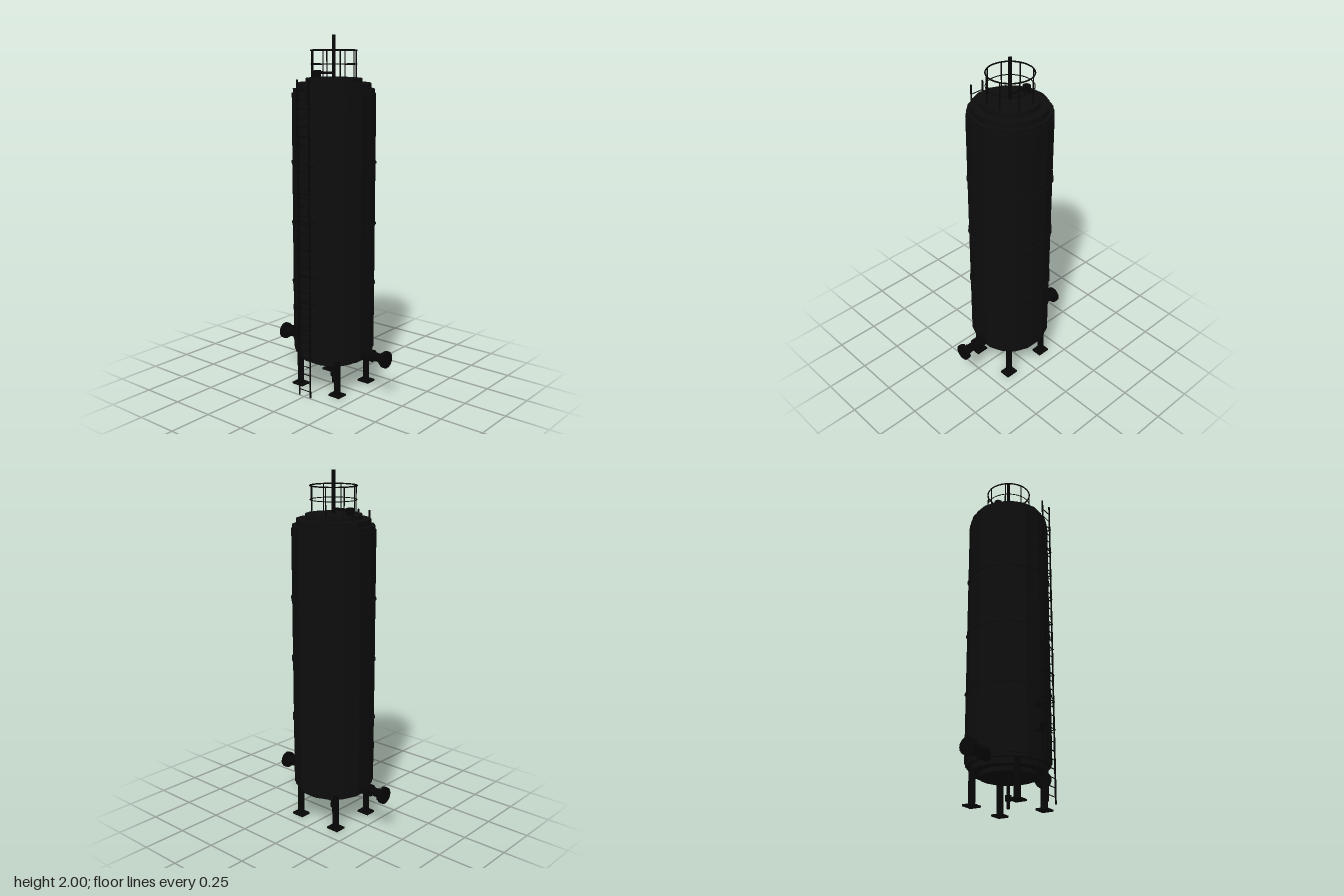
import * as THREE from 'three';

export function createModel() {
  const model = new THREE.Group();
  const shell = new THREE.MeshStandardMaterial({ color: 0x0d0d0d, flatShading: true });
  shell.name = 'dark shell';
  const fitting = new THREE.MeshStandardMaterial({ color: 0x060606, flatShading: true });
  fitting.name = 'black fittings';
  const CZ = -0.014; // tank axis

  function add(name, geo, mat, x, y, z, parent = model) {
    const m = new THREE.Mesh(geo, mat);
    m.name = name;
    m.position.set(x, y, z);
    parent.add(m);
    return m;
  }
  const box = (name, w, h, d, x, y, z, mat = fitting, parent = model) =>
    add(name, new THREE.BoxGeometry(w, h, d), mat, x, y, z, parent);
  // upright cylinder between two heights
  const post = (name, r, y0, y1, x, z, sides = 8, mat = fitting) =>
    add(name, new THREE.CylinderGeometry(r, r, y1 - y0, sides), mat, x, (y0 + y1) / 2, z);
  // sixteen-sided drum with a flat facing the front
  function drum(name, r, y0, y1) {
    const m = post(name, r, y0, y1, 0, CZ, 16, shell);
    m.rotation.y = Math.PI / 16;
  }

  // tank body, stepped ends and weld bands
  drum('tankBody', 0.232, 0.235, 1.69);
  const mid = 0.965;
  [[0.226, 0.748], [0.205, 0.78], [0.156, 0.805]].forEach(([r, half], i) => {
    drum('topStep' + (i + 1), r, mid + 0.6, mid + half);
    drum('bottomStep' + (i + 1), r, mid - half, mid - 0.6);
  });
  for (const y of [0.62, 0.965, 1.31]) drum('weldBand', 0.2375, y - 0.005, y + 0.005);

  // four legs with foot plates
  for (const sx of [-1, 1]) for (const sz of [-1, 1]) {
    const x = sx * 0.136, z = CZ + sz * 0.136;
    post('leg', 0.019, 0, 0.23, x, z, 10);
    box('footPlate', 0.076, 0.01, 0.064, x, 0.005, z);
  }

  // bottom drain with valve
  post('drainPipe', 0.009, 0, 0.17, 0, CZ);
  post('drainValve', 0.018, 0.04, 0.07, 0, CZ);

  // side nozzles, built along +x and turned for the other side
  for (const side of [0, 1]) {
    const nozzle = new THREE.Group();
    nozzle.name = side ? 'rightNozzle' : 'leftNozzle';
    nozzle.position.set(0, 0.235, CZ);
    nozzle.rotation.y = side * Math.PI;
    const disc = (name, r, x0, x1, y = 0, z = 0, sides = 16) => {
      const g = new THREE.CylinderGeometry(r, r, x1 - x0, sides).rotateZ(-Math.PI / 2);
      add(name, g, fitting, (x0 + x1) / 2, y, z, nozzle);
    };
    disc('sleeve', 0.034, 0.18, 0.288);
    disc('pipe', 0.0245, 0.28, 0.37);
    disc('collar', 0.028, 0.336, 0.347);
    disc('flange', 0.048, 0.364, 0.384);
    for (let i = 0; i < 8; i++) {
      const a = (i + 0.5) * Math.PI / 4;
      disc('bolt', 0.006, 0.355, 0.37, 0.039 * Math.sin(a), 0.039 * Math.cos(a), 6);
    }
    model.add(nozzle);
  }

  // front ladder
  const LZ = 0.242;
  for (const s of [-1, 1]) box('ladderRail', 0.007, 1.77, 0.007, s * 0.04, 0.885, LZ);
  for (let y = 0.035; y < 1.76; y += 0.048) {
    const g = new THREE.CylinderGeometry(0.0025, 0.0025, 0.08, 6).rotateZ(Math.PI / 2);
    add('ladderRung', g, fitting, 0, y, LZ);
  }
  for (let i = 0; i < 9; i++) {
    const y = 1.62 - i * 0.153;
    box('ladderBracketBar', 0.112, 0.004, 0.004, 0, y, LZ - 0.001);
    for (const s of [-1, 1]) box('ladderBracketArm', 0.004, 0.004, 0.034, s * 0.054, y, LZ - 0.016);
  }

  // small plate on a standoff, and a wall plate above it
  box('standoffPlate', 0.042, 0.06, 0.005, -0.077, 0.37, 0.234);
  box('standoffPost', 0.012, 0.012, 0.03, -0.077, 0.36, 0.222);
  box('wallPlate', 0.042, 0.03, 0.014, -0.077, 0.505, 0.215);

  // guard rail on the roof
  const R = 0.126;
  for (let i = 0; i < 8; i++) {
    const a = (i + 0.5) * Math.PI / 4;
    post('railPost', 0.0035, 1.765, 1.92, R * Math.cos(a), CZ + R * Math.sin(a), 6);
  }
  for (const [y, r] of [[1.919, 0.004], [1.845, 0.0025]])
    add('railRing', new THREE.TorusGeometry(R, r, 6, 32).rotateX(Math.PI / 2), fitting, 0, y, CZ);

  // mast and roof vent pipe
  post('mast', 0.01, 1.765, 2, 0, CZ);
  post('ventValve', 0.022, 1.765, 1.808, -0.117, CZ, 10);
  add('ventPipe', new THREE.CylinderGeometry(0.007, 0.007, 0.117, 8).rotateZ(Math.PI / 2),
    fitting, -0.0585, 1.797, CZ);

  return model;
}
